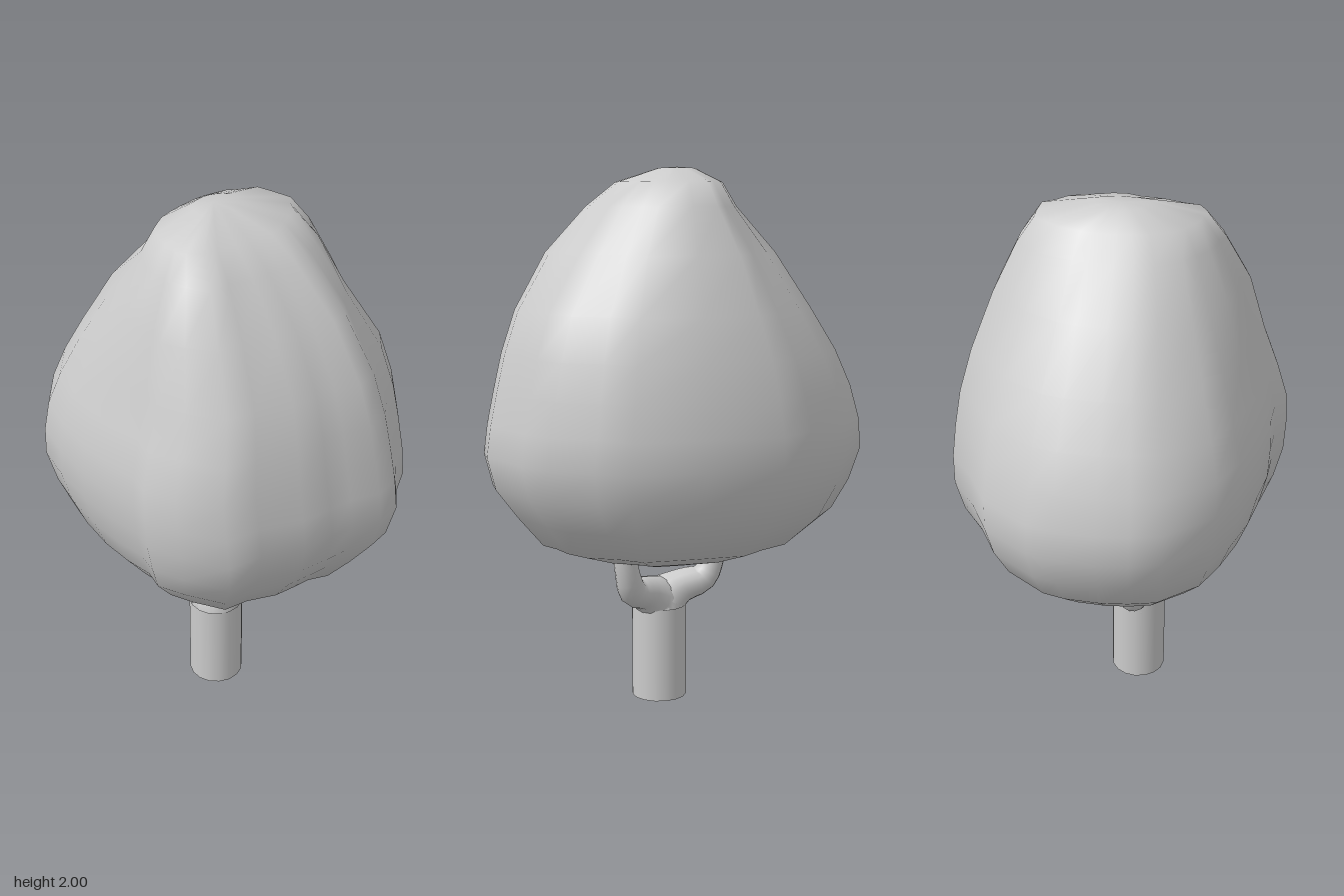
import * as THREE from 'three';

const grey = new THREE.MeshStandardMaterial({ color: 0xcccccc });
const greyOpen = new THREE.MeshStandardMaterial({ color: 0xcccccc, side: THREE.DoubleSide });

// Outline of the crown seen from above, [x, z]
const PLAN = [
  [-0.26, -0.585], [0.01, -0.59], [0.27, -0.585], [0.375, -0.5], [0.52, -0.43], [0.595, -0.33],
  [0.635, -0.22], [0.69, -0.13], [0.69, -0.03], [0.63, 0.06], [0.605, 0.15], [0.57, 0.26],
  [0.48, 0.39], [0.435, 0.51], [0.27, 0.565], [0.145, 0.59], [0.06, 0.55], [-0.07, 0.54],
  [-0.215, 0.51], [-0.385, 0.45], [-0.53, 0.38], [-0.665, 0.22], [-0.69, 0.11], [-0.7, 0],
  [-0.69, -0.15], [-0.665, -0.24], [-0.54, -0.41], [-0.39, -0.49],
];

// Reach of the crown at each height: [y, -x, +x, -z, +z]
const LEVELS = [
  [0.55, 0.1, 0.16, 0.12, 0.12], [0.6, 0.3, 0.34, 0.29, 0.31], [0.65, 0.47, 0.49, 0.41, 0.42],
  [0.76, 0.6, 0.58, 0.505, 0.51], [0.87, 0.66, 0.66, 0.56, 0.555], [0.99, 0.7, 0.69, 0.588, 0.585],
  [1.1, 0.69, 0.675, 0.588, 0.59], [1.22, 0.655, 0.65, 0.575, 0.585], [1.35, 0.595, 0.62, 0.555, 0.545],
  [1.5, 0.505, 0.57, 0.515, 0.49], [1.7, 0.38, 0.46, 0.44, 0.435], [1.86, 0.225, 0.31, 0.36, 0.345],
  [1.945, 0.175, 0.2, 0.3, 0.285], [1.995, 0.09, 0.04, 0.1, 0.1],
];

// Shallow hollows in the foliage: [angle, y, depth]
const HOLLOWS = [[-0.75, 1.72, 0.09], [2.3, 1.72, 0.07], [-2.45, 1.66, 0.05], [0.8, 1.7, 0.04]];

function crownGeometry() {
  const n = PLAN.length, pos = [], index = [];
  for (const [y, xn, xp, zn, zp] of LEVELS) {
    for (const [px, pz] of PLAN) {
      const x = px * (px < 0 ? xn / 0.7 : xp / 0.69);
      const z = pz * (pz < 0 ? zn / 0.59 : zp / 0.59);
      let s = 1;
      for (const [angle, hy, depth] of HOLLOWS) {
        const da = 1 - Math.cos(Math.atan2(z, x) - angle);
        s -= depth * Math.exp(-da * 12 - ((y - hy) / 0.14) ** 2);
      }
      pos.push(x * s, y, z * s);
    }
  }
  const last = (LEVELS.length - 1) * n, bottom = LEVELS.length * n, top = bottom + 1;
  pos.push(0.05, 0.542, 0, -0.03, 2, 0);
  for (let i = 0; i < n; i++) {
    const j = (i + 1) % n;
    for (let l = 0; l < last; l += n) {
      index.push(l + i, l + n + i, l + j, l + j, l + n + i, l + n + j);
    }
    index.push(i, j, bottom, last + i, top, last + j);
  }
  const g = new THREE.BufferGeometry();
  g.setAttribute('position', new THREE.Float32BufferAttribute(pos, 3));
  g.setIndex(index);
  g.computeVertexNormals();
  return g;
}

// Tapered limb along a smooth path of [x, y, z, radius]
function limbGeometry(points) {
  const curve = new THREE.CatmullRomCurve3(points.map(p => new THREE.Vector3(p[0], p[1], p[2])));
  const steps = 16, sides = 14;
  const g = new THREE.TubeGeometry(curve, steps, 1, sides);
  const pos = g.attributes.position, v = new THREE.Vector3();
  for (let i = 0; i <= steps; i++) {
    const c = curve.getPointAt(i / steps);
    const t = curve.getUtoTmapping(i / steps) * (points.length - 1);
    const k = Math.min(Math.floor(t), points.length - 2);
    const r = THREE.MathUtils.lerp(points[k][3], points[k + 1][3], t - k);
    for (let j = 0; j <= sides; j++) {
      const id = i * (sides + 1) + j;
      v.fromBufferAttribute(pos, id).sub(c).multiplyScalar(r).add(c);
      pos.setXYZ(id, v.x, v.y, v.z);
    }
  }
  g.computeVertexNormals();
  return g;
}

export function createModel() {
  const group = new THREE.Group();
  const add = (name, geometry, material) => {
    const m = new THREE.Mesh(geometry, material);
    m.name = name;
    group.add(m);
    return m;
  };

  add('crown', crownGeometry(), grey);

  // Straight trunk, open at the foot
  add('trunk', new THREE.CylinderGeometry(0.105, 0.105, 0.36, 16, 1, true), greyOpen)
    .position.set(0.025, 0.18, 0.055);

  // Fork of two branches reaching into the crown
  add('rightBranch', limbGeometry([
    [0.025, 0.3, 0.055, 0.102], [0.01, 0.37, 0.055, 0.098], [-0.06, 0.42, 0.055, 0.066],
    [-0.15, 0.45, 0.055, 0.054], [-0.185, 0.52, 0.055, 0.046], [-0.21, 0.64, 0.055, 0.042],
  ]), greyOpen);
  add('leftBranch', limbGeometry([
    [0.025, 0.3, 0.055, 0.102], [0.035, 0.37, 0.045, 0.098], [0.09, 0.42, -0.01, 0.066],
    [0.155, 0.45, -0.07, 0.054], [0.18, 0.52, -0.1, 0.046], [0.2, 0.64, -0.115, 0.042],
  ]), greyOpen);

  return group;
}
